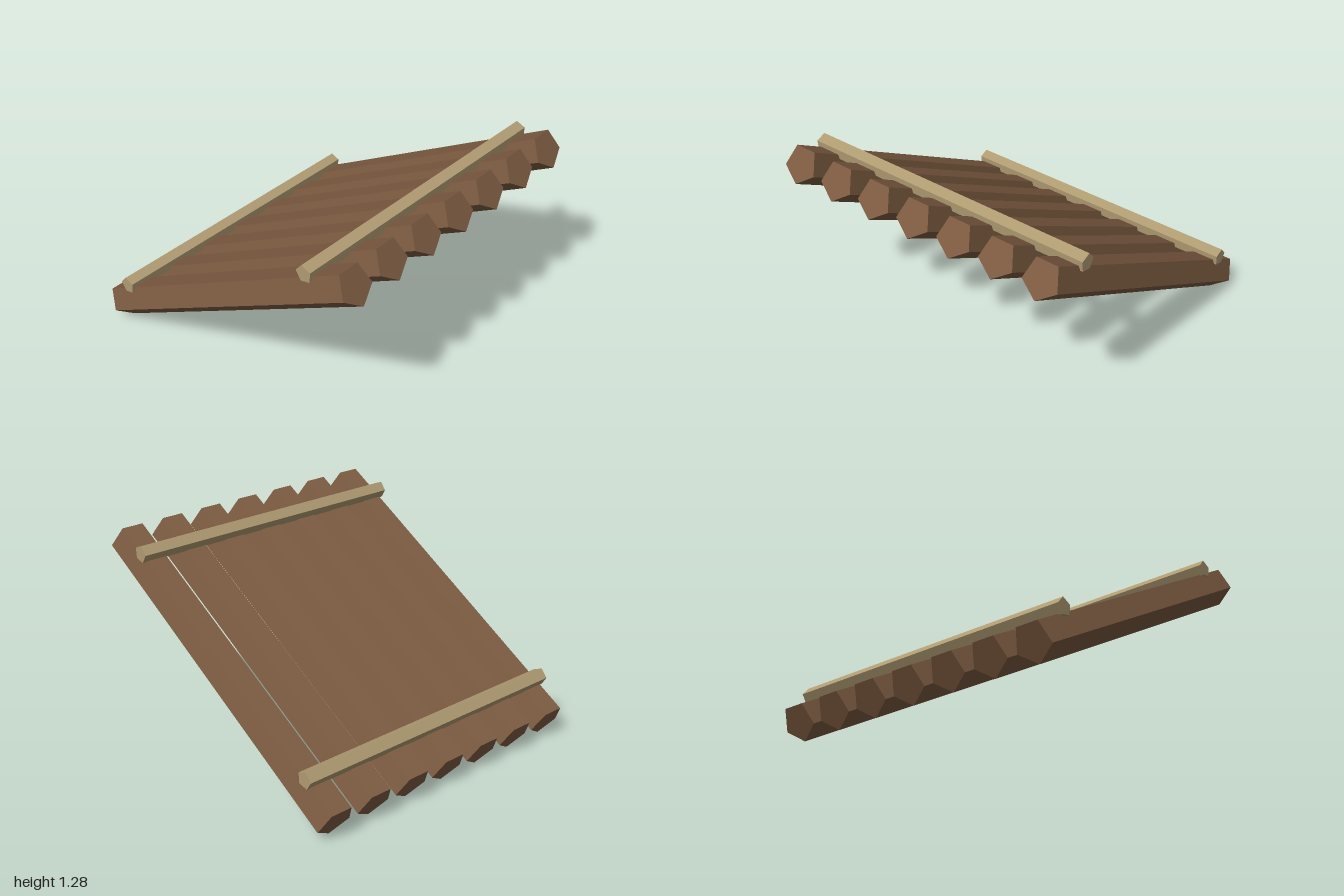
import * as THREE from 'three';

const logWood = new THREE.MeshStandardMaterial({ color: 0x7d5b41, flatShading: true });
logWood.name = 'brown wood';
const railWood = new THREE.MeshStandardMaterial({ color: 0xb09b72, flatShading: true });
railWood.name = 'pale wood';

// Five-sided beam along y, first edge at the given angle around the axis
function beam(radius, length, startAngle = 0) {
  return new THREE.CylinderGeometry(radius, radius, length, 5, 1, false, startAngle);
}

export function createModel() {
  const model = new THREE.Group();
  model.name = 'logRaft';

  // Seven sloping logs, edge down and flat side up, rising towards the front
  const logs = new THREE.Group();
  logs.name = 'logs';
  const logGeometry = beam(0.118, 2.186).rotateX(Math.PI / 2);
  for (let i = -3; i <= 3; i++) {
    const log = new THREE.Mesh(logGeometry, logWood);
    log.name = 'log';
    log.position.x = i * 0.2855;
    logs.add(log);
  }
  logs.rotation.x = -Math.PI / 6;
  logs.position.set(0, 0.649, -0.006);
  model.add(logs);

  // Two thin cross rails lying on top of the logs
  const railGeometry = beam(0.054, 1.9, THREE.MathUtils.degToRad(176)).rotateZ(Math.PI / 2);
  for (const [name, y, z] of [['upperRail', 1.183, 0.674], ['lowerRail', 0.328, -0.805]]) {
    const rail = new THREE.Mesh(railGeometry, railWood);
    rail.name = name;
    rail.position.set(0, y, z);
    model.add(rail);
  }
  return model;
}
